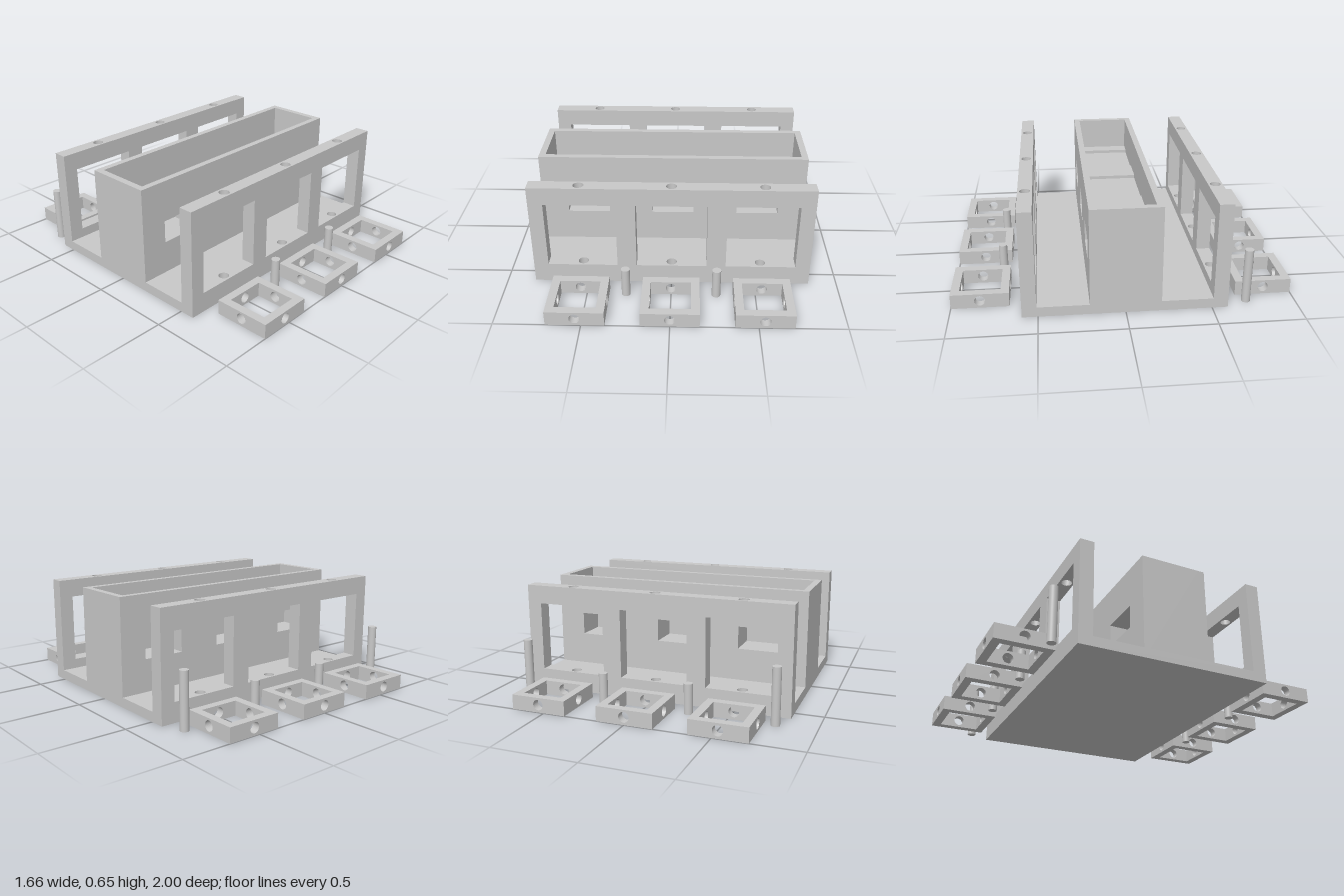
import * as THREE from 'three';

const grey = new THREE.MeshStandardMaterial({ color: 0xc8c8c8 });
grey.name = 'plain grey';

const BAYS = [-0.535, 0, 0.535];
const HOLE_R = 0.031;
const TOP = 0.647;

function add(parent, name, geometry, x = 0, y = 0, z = 0) {
  const mesh = new THREE.Mesh(geometry, grey);
  mesh.name = name;
  mesh.position.set(x, y, z);
  parent.add(mesh);
  return mesh;
}

// Box given by its minimum and maximum corners
function block(parent, name, x0, x1, y0, y1, z0, z1) {
  return add(parent, name, new THREE.BoxGeometry(x1 - x0, y1 - y0, z1 - z0),
    (x0 + x1) / 2, (y0 + y1) / 2, (z0 + z1) / 2);
}

function rectPath(path, x0, x1, y0, y1) {
  path.moveTo(x0, y0);
  path.lineTo(x1, y0);
  path.lineTo(x1, y1);
  path.lineTo(x0, y1);
  path.closePath();
  return path;
}

function roundHole(x, y) {
  const path = new THREE.Path();
  path.absarc(x, y, HOLE_R, 0, Math.PI * 2, true);
  return path;
}

// Plate in the XY plane, pierced by holes and extruded along +z
function plate(x0, x1, y0, y1, depth, holes) {
  const shape = rectPath(new THREE.Shape(), x0, x1, y0, y1);
  shape.holes.push(...holes);
  return new THREE.ExtrudeGeometry(shape, { depth, bevelEnabled: false, curveSegments: 16 });
}

// Outer wall: drilled top beam and sill joined by four posts
function outerWall(side) {
  const wall = new THREE.Group();
  wall.name = side > 0 ? 'frontWall' : 'backWall';
  const half = 0.0425;
  const beam = (name, y0, y1) => {
    const geometry = plate(-0.83, 0.83, -half, half, y1 - y0, BAYS.map((x) => roundHole(x, 0)));
    geometry.rotateX(-Math.PI / 2);
    add(wall, name, geometry, 0, y0, 0);
  };
  beam('topBeam', 0.537, TOP);
  beam('sill', 0.06, 0.12);
  for (const [x0, x1] of [[-0.83, -0.743], [-0.325, -0.21], [0.21, 0.325], [0.743, 0.83]]) {
    block(wall, 'post', x0, x1, 0.12, 0.537, -half, half);
  }
  wall.position.z = side * 0.549;
  return wall;
}

// Central box: open tray above, blind pockets in both long sides below
function centralBox() {
  const group = new THREE.Group();
  group.name = 'centralBox';
  const y0 = 0.06, floorY = 0.42, outer = 0.206, inner = 0.168, core = 0.01;
  const pockets = () =>
    BAYS.map((x) => rectPath(new THREE.Path(), x - 0.131, x + 0.131, 0.26, 0.4));

  for (const side of [-1, 1]) {
    add(group, 'longSide', plate(-0.83, 0.83, y0, TOP, outer - inner, pockets()),
      0, 0, side > 0 ? inner : -outer);
    add(group, 'pocketBlock', plate(-0.79, 0.79, y0, floorY, inner - core, pockets()),
      0, 0, side > 0 ? core : -inner);
    block(group, 'endWall', side > 0 ? 0.79 : -0.83, side > 0 ? 0.83 : -0.79, y0, TOP, -inner, inner);
  }
  block(group, 'partition', -0.79, 0.79, y0, floorY, -core, core);

  // Low steps between the square bays of the tray
  for (const [x0, x1] of [[-0.79, -0.7], [-0.36, -0.178], [0.178, 0.36], [0.7, 0.79]]) {
    block(group, 'divider', x0, x1, floorY, 0.44, -inner, inner);
  }
  return group;
}

// Loose square frame, drilled through all four sides
function squareFrame(x, z) {
  const frame = new THREE.Group();
  frame.name = 'squareFrame';
  const out = 0.168, inn = 0.119, h = 0.088, t = out - inn;
  for (const side of [-1, 1]) {
    const start = side > 0 ? inn : -out;
    add(frame, 'longBar', plate(-out, out, 0, h, t, [roundHole(0, 0.045)]), 0, 0, start);
    const cross = plate(-inn, inn, 0, h, t, [roundHole(0, 0.045)]);
    cross.rotateY(Math.PI / 2);
    add(frame, 'crossBar', cross, start, 0, 0);
  }
  frame.position.set(x, 0, z);
  return frame;
}

export function createModel() {
  const model = new THREE.Group();
  model.name = 'boxKit';

  block(model, 'base', -0.83, 0.83, 0, 0.06, -0.5915, 0.5915);
  model.add(outerWall(1), outerWall(-1), centralBox());

  for (const side of [-1, 1]) {
    for (const x of BAYS) model.add(squareFrame(x, side * 0.832));
  }

  // Loose pins: short ones between frames, long ones at the back corners
  const pin = (name, x, z, h) =>
    add(model, name, new THREE.CylinderGeometry(0.026, 0.026, h, 32), x, h / 2, z);
  for (const x of [-0.267, 0.267]) {
    pin('shortPin', x, 0.712, 0.18);
    pin('shortPin', x, -0.712, 0.18);
  }
  for (const x of [-0.77, 0.77]) pin('longPin', x, -0.712, 0.335);

  return model;
}
